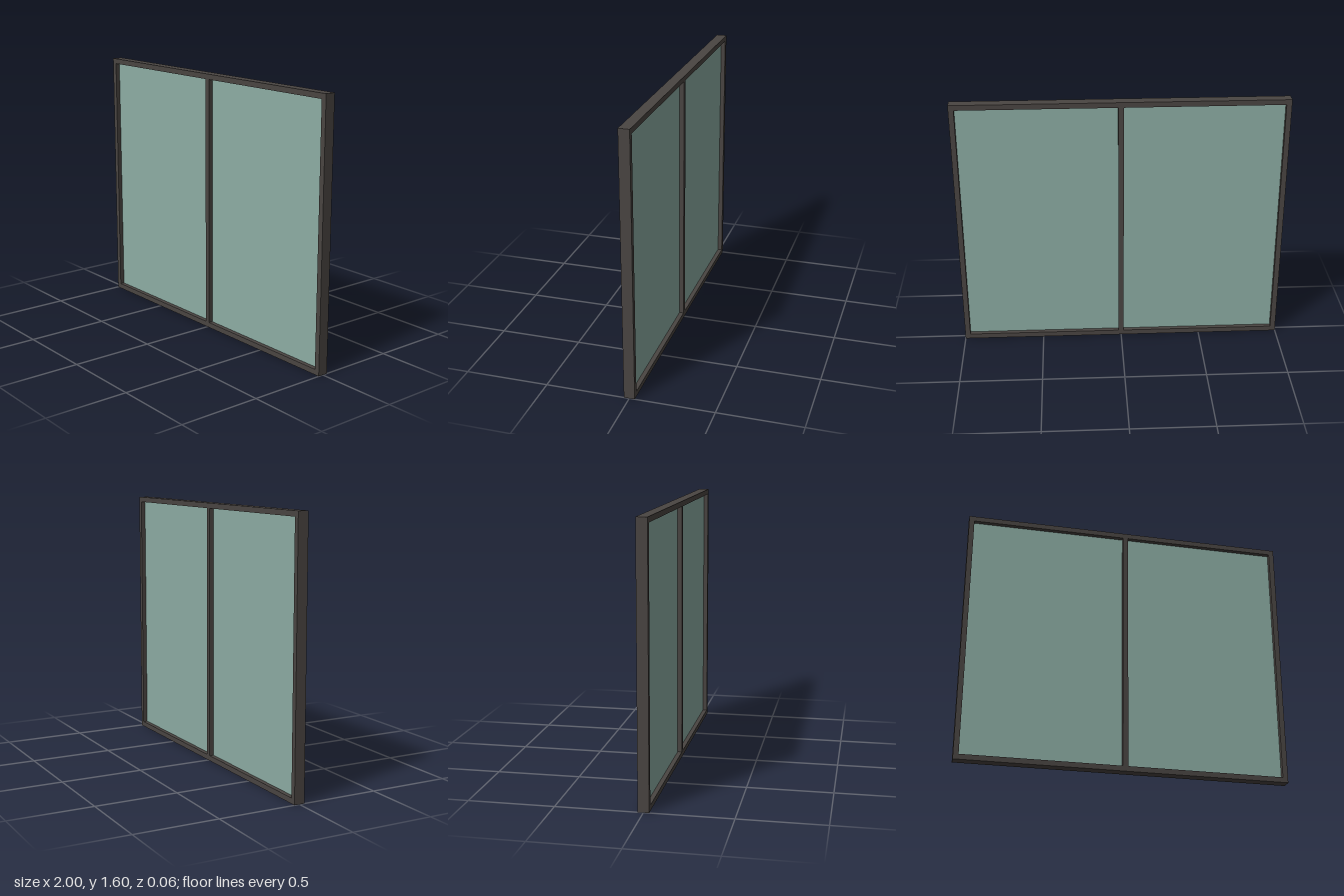
import * as THREE from 'three';

const W = 2, H = 1.6, DEPTH = 0.064, BAR = 0.032, GLASS = 0.01;

// Traces an axis-aligned rectangle on a Shape or Path
function rect(path, x0, y0, x1, y1) {
  path.moveTo(x0, y0);
  path.lineTo(x1, y0);
  path.lineTo(x1, y1);
  path.lineTo(x0, y1);
  path.closePath();
  return path;
}

export function createModel() {
  const model = new THREE.Group();
  model.name = 'window';
  const frameMat = new THREE.MeshStandardMaterial({ color: 0x4a4542 });
  const glassMat = new THREE.MeshStandardMaterial({ color: 0x8dada4 });

  // Outer frame and central mullion, cut by one opening per pane
  const outline = rect(new THREE.Shape(), -W / 2, 0, W / 2, H);
  const paneW = (W - 3 * BAR) / 2;
  const paneH = H - 2 * BAR;

  for (const [side, name] of [[-1, 'rightPane'], [1, 'leftPane']]) {
    const cx = side * (BAR + paneW) / 2;
    outline.holes.push(rect(new THREE.Path(), cx - paneW / 2, BAR, cx + paneW / 2, H - BAR));

    // Glass pane set midway through the frame depth
    const pane = new THREE.Mesh(new THREE.BoxGeometry(paneW, paneH, GLASS), glassMat);
    pane.name = name;
    pane.position.set(cx, H / 2, 0);
    model.add(pane);
  }

  const frameGeo = new THREE.ExtrudeGeometry(outline, { depth: DEPTH, bevelEnabled: false });
  frameGeo.translate(0, 0, -DEPTH / 2);
  const frame = new THREE.Mesh(frameGeo, frameMat);
  frame.name = 'frame';
  model.add(frame);

  return model;
}
